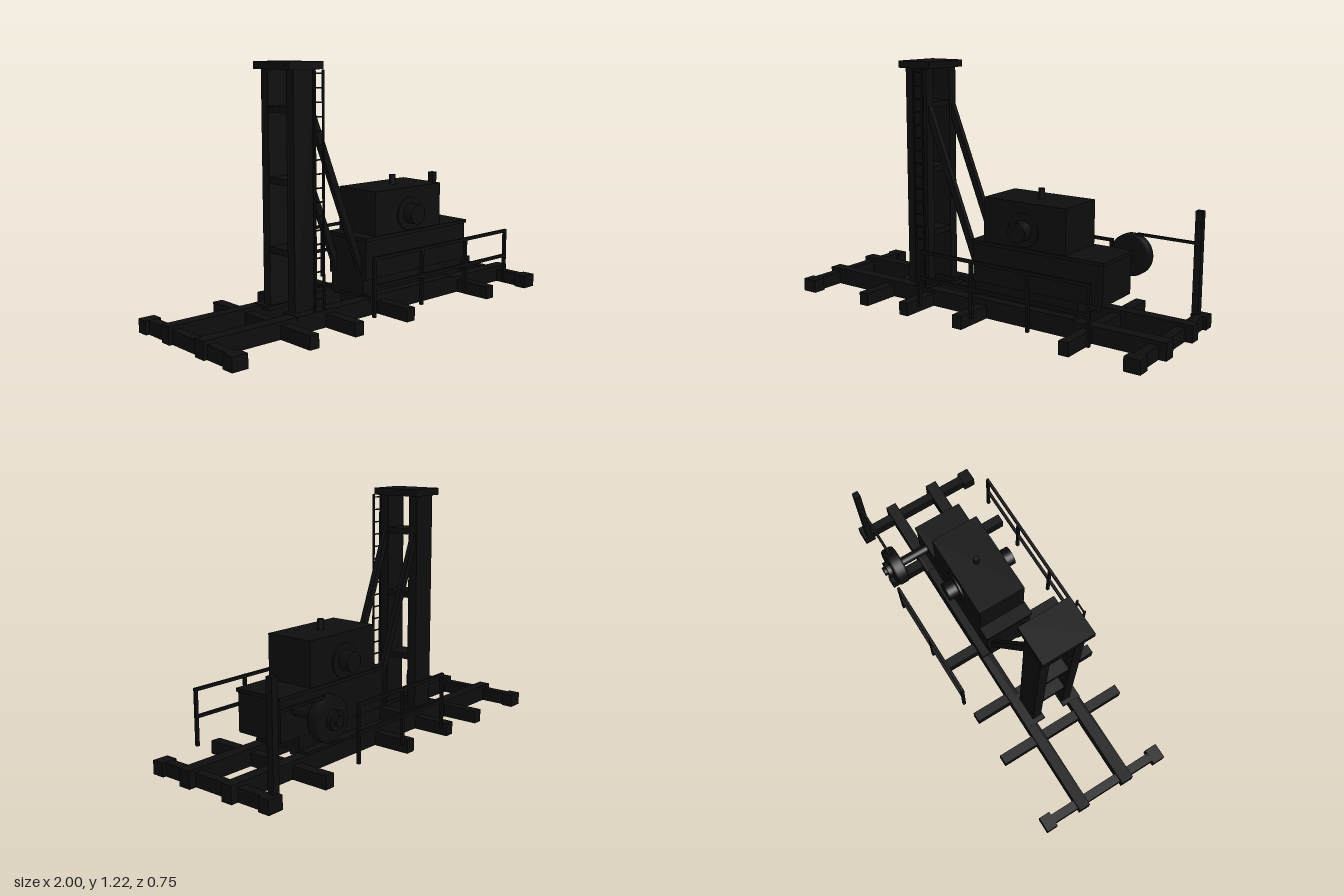
import * as THREE from 'three';

export function createModel() {
  const root = new THREE.Group();
  const black = new THREE.MeshStandardMaterial({ color: 0x0d0d0d });
  black.name = 'blackened steel';

  const add = (name, geometry, parent = root) => {
    const mesh = new THREE.Mesh(geometry, black);
    mesh.name = name;
    parent.add(mesh);
    return mesh;
  };
  // Box given by its limits on each axis
  const box = (name, x0, x1, y0, y1, z0, z1, parent) => {
    const mesh = add(name, new THREE.BoxGeometry(x1 - x0, y1 - y0, z1 - z0), parent);
    mesh.position.set((x0 + x1) / 2, (y0 + y1) / 2, (z0 + z1) / 2);
    return mesh;
  };
  // Cylinder lying along z
  const drum = (name, x, y, z0, z1, r, parent) => {
    const mesh = add(name, new THREE.CylinderGeometry(r, r, z1 - z0, 32), parent);
    mesh.rotation.x = Math.PI / 2;
    mesh.position.set(x, y, (z0 + z1) / 2);
    return mesh;
  };
  const group = (name) => {
    const g = new THREE.Group();
    g.name = name;
    root.add(g);
    return g;
  };

  // Skid frame: two long runners on six cross beams
  const skid = group('skidFrame');
  box('runnerFront', -1, 1, 0, 0.083, 0.11, 0.175, skid);
  box('runnerBack', -1, 1, 0, 0.083, -0.15, -0.09, skid);
  for (const x of [-0.57, -0.305, 0.025, 0.61])
    box('crossBeam', x - 0.026, x + 0.026, 0, 0.065, -0.345, 0.375, skid);
  for (const x of [-0.96, 0.94]) {
    box('endBeam', x - 0.023, x + 0.023, 0, 0.065, -0.345, 0.375, skid);
    box('endPadFront', x - 0.04, x + 0.04, 0, 0.066, 0.31, 0.375, skid);
    box('endPadBack', x - 0.04, x + 0.04, 0, 0.066, -0.345, -0.285, skid);
  }

  // Tower: two posts, cross bars, crown and sloping braces
  const tower = group('tower');
  const postZ = [[0.08, 0.13], [-0.1, -0.05]];
  for (const [z0, z1] of postZ) {
    box('towerPost', -0.475, -0.345, 0.07, 1.18, z0, z1, tower);
    const a = new THREE.Vector2(-0.355, 0.99), b = new THREE.Vector2(-0.035, 0.19);
    const d = b.clone().sub(a);
    const brace = add('brace', new THREE.BoxGeometry(d.length(), 0.034, 0.026), tower);
    brace.position.set((a.x + b.x) / 2, (a.y + b.y) / 2, z0 > 0 ? 0.102 : -0.078);
    brace.rotation.z = Math.atan2(d.y, d.x);
  }
  for (const y of [0.35, 0.675, 1.0])
    box('towerCrossBar', -0.47, -0.35, y - 0.015, y + 0.015, -0.05, 0.08, tower);
  box('crown', -0.508, -0.312, 1.18, 1.215, -0.115, 0.145, tower);
  box('towerFootFront', -0.5, -0.32, 0.065, 0.085, 0.075, 0.178, tower);
  box('towerFootBack', -0.5, -0.32, 0.065, 0.085, -0.147, -0.04, tower);

  // Ladder on the front of the tower
  const ladder = group('ladder');
  for (const x of [-0.393, -0.337])
    box('ladderRail', x - 0.004, x + 0.004, 0.083, 1.18, 0.165, 0.174, ladder);
  for (let y = 0.14; y < 1.17; y += 0.064)
    box('ladderRung', -0.393, -0.337, y - 0.003, y + 0.003, 0.166, 0.173, ladder);

  // Machine housing
  const machine = group('machine');
  box('machineFootFront', -0.05, 0.535, 0.065, 0.095, 0.075, 0.178, machine);
  box('machineFootBack', -0.05, 0.535, 0.065, 0.095, -0.147, -0.04, machine);
  box('machineBase', -0.05, 0.535, 0.085, 0.165, -0.1, 0.13, machine);
  box('lowerHousing', -0.05, 0.67, 0.165, 0.358, -0.115, 0.145, machine);
  box('deckPlate', -0.057, 0.677, 0.356, 0.373, -0.12, 0.152, machine);
  box('upperHousing', 0.015, 0.473, 0.373, 0.59, -0.115, 0.145, machine);
  drum('bearingFlange', 0.245, 0.46, -0.125, 0.155, 0.083, machine);
  drum('bearingCap', 0.245, 0.46, -0.18, 0.21, 0.049, machine);
  const vent = add('vent', new THREE.CylinderGeometry(0.016, 0.016, 0.06, 20), machine);
  vent.position.set(0.258, 0.61, 0.015);

  // Drive wheel on its shaft
  const drive = group('drive');
  drum('driveShaft', 0.575, 0.298, -0.375, -0.1, 0.024, drive);
  drum('driveHub', 0.575, 0.298, -0.36, -0.3, 0.045, drive);
  const profile = [[0, -0.032], [0.097, -0.032], [0.105, -0.02], [0.105, 0.02], [0.097, 0.032], [0, 0.032]];
  const wheelGeometry = new THREE.LatheGeometry(profile.map(([r, h]) => new THREE.Vector2(r, h)), 40);
  const wheel = add('driveWheel', wheelGeometry, drive);
  wheel.rotation.x = Math.PI / 2;
  wheel.position.set(0.575, 0.298, -0.305);

  // End post with control rod
  box('controlPost', 0.9, 0.934, 0.06, 0.558, -0.328, -0.295);
  box('controlRod', 0.6, 0.91, 0.395, 0.408, -0.318, -0.305);

  // Guard rails on both sides
  const guard = (name, z, posts) => {
    const g = group(name);
    const x0 = posts[0], x1 = posts[posts.length - 1], t = 0.0075;
    for (const x of posts) box('guardPost', x - t, x + t, 0.065, 0.345, z - t, z + t, g);
    for (const y of [0.337, 0.207]) box('guardBar', x0 - t, x1 + t, y - t, y + t, z - t, z + t, g);
  };
  guard('guardRailFront', 0.367, [-0.207, 0.105, 0.417, 0.728]);
  guard('guardRailBack', -0.36, [-0.207, 0.113, 0.433]);

  return root;
}
